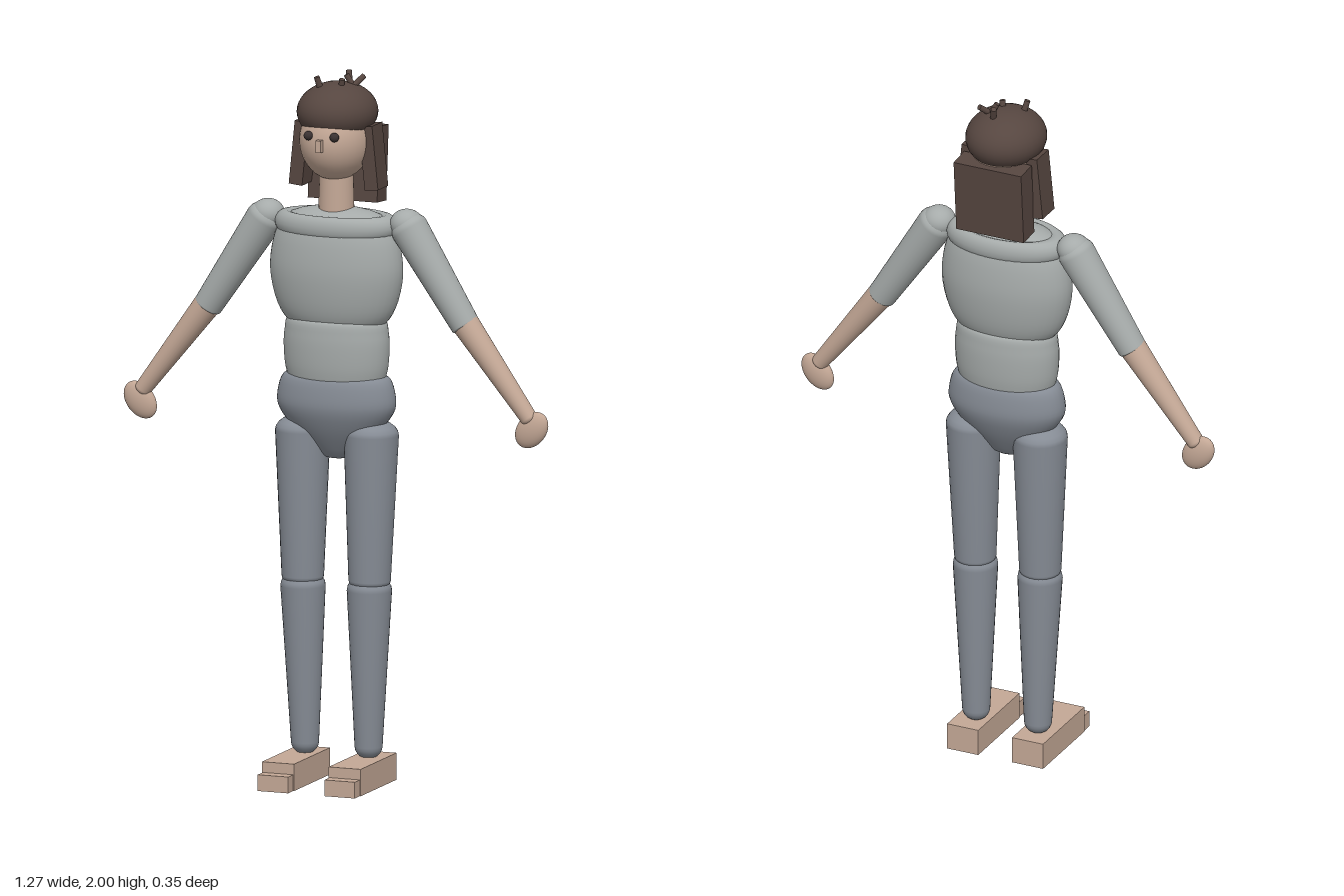
import * as THREE from 'three';

const mat = (color) => new THREE.MeshStandardMaterial({ color });
const Z = -0.047; // depth of the body axis

export function createModel() {
  const root = new THREE.Group();
  const skin = mat(0xc4a896), shirt = mat(0xa6abaa), pants = mat(0x868c95);
  const hair = mat(0x564640), dark = mat(0x3a3232);

  const add = (name, geo, material, x = 0, y = 0, z = 0) => {
    const m = new THREE.Mesh(geo, material);
    m.name = name;
    m.position.set(x, y, z);
    root.add(m);
    return m;
  };
  const box = (name, material, w, h, d, x, y, z) =>
    add(name, new THREE.BoxGeometry(w, h, d), material, x, y, z);
  const ellipsoid = (name, material, rx, ry, rz, x, y, z) =>
    add(name, new THREE.SphereGeometry(1, 32, 20).scale(rx, ry, rz), material, x, y, z);

  // Smooth lathed body section, flattened front to back
  const section = (name, material, profile, depth) => {
    const curve = new THREE.CatmullRomCurve3(profile.map(([r, y]) => new THREE.Vector3(r, y, 0)));
    const pts = curve.getPoints(28).map((p) => new THREE.Vector2(Math.max(p.x, 0), p.y));
    return add(name, new THREE.LatheGeometry(pts, 40).scale(1, 1, depth), material, 0, 0, Z);
  };

  // Tapered limb from a to b with rounded ends (cap = cap height)
  const limb = (name, material, a, b, ra, rb, capA, capB) => {
    const from = new THREE.Vector3(...a), to = new THREE.Vector3(...b);
    const dir = to.clone().sub(from), len = dir.length(), pts = [];
    for (let i = 0; i <= 6; i++) {
      const t = (i / 6) * Math.PI / 2;
      pts.push(new THREE.Vector2(ra * Math.sin(t), capA * (1 - Math.cos(t))));
    }
    for (let i = 0; i <= 6; i++) {
      const t = (i / 6) * Math.PI / 2;
      pts.push(new THREE.Vector2(rb * Math.cos(t), len - capB * (1 - Math.sin(t))));
    }
    const m = add(name, new THREE.LatheGeometry(pts, 28), material, ...a);
    m.quaternion.setFromUnitVectors(new THREE.Vector3(0, 1, 0), dir.normalize());
    return m;
  };

  // Torso
  section('pelvis', pants, [[0, 0.912], [0.035, 0.917], [0.085, 0.955], [0.14, 1.01], [0.172, 1.06],
    [0.172, 1.1], [0.155, 1.145], [0.12, 1.155], [0, 1.157]], 0.57);
  section('abdomen', shirt, [[0, 1.13], [0.135, 1.135], [0.147, 1.16], [0.154, 1.22], [0.152, 1.27],
    [0.14, 1.31], [0, 1.32]], 0.62);
  section('chest', shirt, [[0, 1.285], [0.12, 1.288], [0.148, 1.305], [0.175, 1.35], [0.194, 1.43], [0.192, 1.49],
    [0.175, 1.555], [0.14, 1.6], [0.05, 1.624], [0, 1.628]], 0.565);
  const collar = add('collar', new THREE.TorusGeometry(0.148, 0.033, 16, 48), shirt, 0, 1.575, Z);
  collar.geometry.rotateX(Math.PI / 2).scale(1, 1, 0.57);

  // Head
  add('neck', new THREE.CylinderGeometry(0.047, 0.05, 0.13, 28), skin, 0, 1.675, -0.045);
  ellipsoid('face', skin, 0.1, 0.115, 0.115, 0, 1.815, -0.042);
  box('nose', skin, 0.016, 0.034, 0.035, 0, 1.815, 0.072);
  ellipsoid('hairCap', hair, 0.112, 0.083, 0.122, 0, 1.892, -0.053);
  box('backHair', hair, 0.208, 0.213, 0.068, 0, 1.737, -0.131).rotation.x = -0.08;

  // Tufts: foot point and tip on top of the head
  const tufts = [
    [-0.035, 1.95, -0.02, -0.045, 1.993, -0.01],
    [0.018, 1.95, -0.035, 0.024, 1.988, -0.028],
    [0.03, 1.95, -0.058, 0.062, 1.988, -0.098],
    [0.02, 1.95, -0.095, 0.01, 1.998, -0.112],
    [0.045, 1.95, -0.075, 0.02, 1.994, -0.068],
  ];
  for (const t of tufts)
    limb('hairTuft', hair, t.slice(0, 3), t.slice(3), 0.009, 0.008, 0.001, 0.001);

  for (const s of [-1, 1]) {
    // Eyes and side hair
    ellipsoid('eye', dark, 0.013, 0.013, 0.013, s * 0.039, 1.84, 0.065);
    box('sideHair', hair, 0.04, 0.18, 0.075, s * 0.105, 1.77, -0.06).rotation.z = s * 0.1;

    // Arms
    const shoulder = [s * 0.208, 1.588, -0.052];
    ellipsoid('shoulder', shirt, 0.047, 0.042, 0.047, ...shoulder);
    limb('upperArm', shirt, [s * 0.195, 1.608, -0.052], [s * 0.392, 1.307, Z], 0.053, 0.041, 0.04, 0.012);
    limb('forearm', skin, [s * 0.375, 1.335, Z], [s * 0.588, 1.055, -0.042], 0.039, 0.024, 0.012, 0.015);
    ellipsoid('hand', skin, 0.042, 0.058, 0.021, s * 0.587, 1.035, -0.042).rotation.z = -s * 0.69;

    // Legs
    limb('thigh', pants, [s * 0.103, 1.03, -0.05], [s * 0.1, 0.545, -0.043], 0.077, 0.059, 0.045, 0.03);
    limb('shin', pants, [s * 0.1, 0.592, -0.043], [s * 0.095, 0.07, -0.048], 0.063, 0.039, 0.045, 0.035);

    // Feet
    box('foot', skin, 0.096, 0.076, 0.262, s * 0.1, 0.038, 0.007);
    box('toes', skin, 0.091, 0.046, 0.06, s * 0.1, 0.023, 0.145);
  }
  return root;
}
